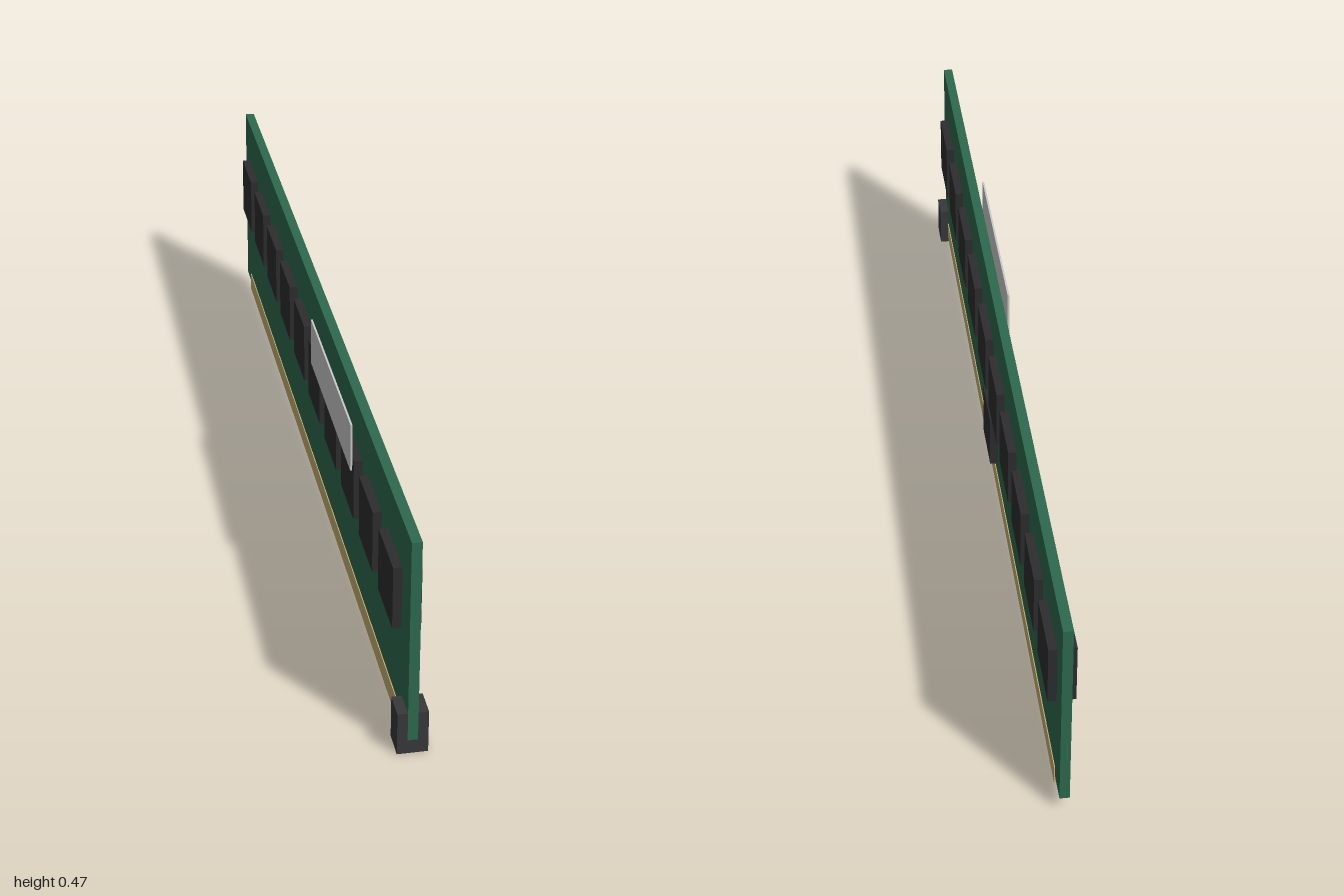
import * as THREE from 'three';

const mat = (color) => new THREE.MeshStandardMaterial({ color });

export function createModel() {
  const model = new THREE.Group();
  const green = mat(0x2d6a4f), black = mat(0x2d2d2f), gold = mat(0xc9b072);
  const darkGrey = mat(0x38383b), grey = mat(0xcccccc);

  // Box given by its minimum and maximum on each axis
  function addBox(name, material, [x0, x1], [y0, y1], [z0, z1]) {
    const mesh = new THREE.Mesh(new THREE.BoxGeometry(x1 - x0, y1 - y0, z1 - z0), material);
    mesh.position.set((x0 + x1) / 2, (y0 + y1) / 2, (z0 + z1) / 2);
    mesh.name = name;
    model.add(mesh);
  }

  // Circuit board and the contact strip along its lower edge
  addBox('board', green, [-0.01, 0.01], [0.03, 0.467], [-1, 1]);
  addBox('contactStrip', gold, [-0.012, 0.012], [0.012, 0.054], [-0.94, 0.945]);

  // Ten memory chips on each face
  const pitch = 0.1925, half = 0.068;
  for (const side of [-1, 1]) {
    const xs = side > 0 ? [0.009, 0.0275] : [-0.0275, -0.009];
    for (let i = 0; i < 10; i++) {
      const z = -0.874 + i * pitch;
      addBox(side > 0 ? 'leftMemoryChip' : 'rightMemoryChip', black, xs, [0.235, 0.368], [z - half, z + half]);
    }
  }

  // Controller chip below the row on one face
  addBox('controllerChip', black, [0.009, 0.0275], [0.091, 0.211], [-0.062, 0.062]);

  // Block gripping the front lower corner
  addBox('cornerBlock', darkGrey, [-0.03, 0.03], [0, 0.091], [0.942, 0.9995]);

  // Thin label lying over the chips on the other face
  addBox('label', grey, [-0.032, -0.028], [0.34, 0.443], [0.075, 0.528]);

  return model;
}
